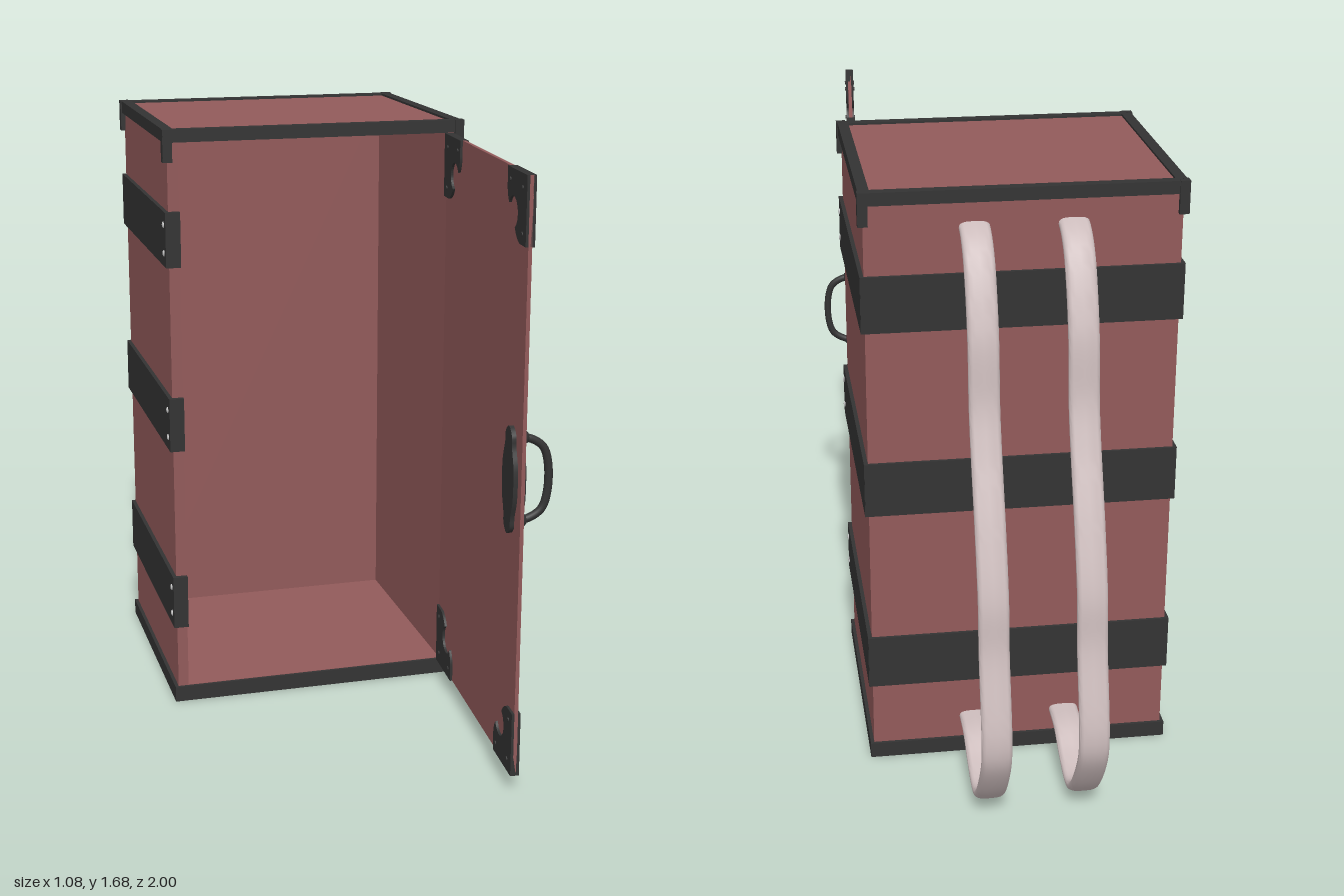
import * as THREE from 'three';
import { toCreasedNormals } from 'three/addons/utils/BufferGeometryUtils.js';

const mat = (color) => new THREE.MeshStandardMaterial({ color });
const RED = mat(0x925a5a), DARK = mat(0x333333), STRAP = mat(0xccbcbc), STEEL = mat(0xcccccc);

function add(parent, name, geometry, material, x = 0, y = 0, z = 0) {
  const mesh = new THREE.Mesh(geometry, material);
  mesh.name = name;
  mesh.position.set(x, y, z);
  parent.add(mesh);
  return mesh;
}

// box given by its min and max corners
function box(parent, name, material, [x0, y0, z0], [x1, y1, z1]) {
  const g = new THREE.BoxGeometry(x1 - x0, y1 - y0, z1 - z0);
  return add(parent, name, g, material, (x0 + x1) / 2, (y0 + y1) / 2, (z0 + z1) / 2);
}

// flat shape extruded evenly to both sides of z = 0
function plate(shape, depth) {
  return new THREE.ExtrudeGeometry(shape, { depth, bevelEnabled: false, curveSegments: 12 }).translate(0, 0, -depth / 2);
}

const rect = (P, w, d) => {
  const p = new P();
  p.moveTo(-w, -d).lineTo(w, -d).lineTo(w, d).lineTo(-w, d).closePath();
  return p;
};

// rectangular ring lying flat between y0 and y1
function ring(parent, name, hx, hz, width, y0, y1) {
  const s = rect(THREE.Shape, hx, hz);
  s.holes.push(rect(THREE.Path, hx - width, hz - width));
  const g = plate(s, y1 - y0).rotateX(-Math.PI / 2);
  add(parent, name, g, DARK, 0, (y0 + y1) / 2, 0);
}

const HX = 0.428, HZ = 0.361;   // outer half width and half depth
const WX = 0.418, WZ = 0.352;   // wooden case

function buildCase() {
  const g = new THREE.Group();
  g.name = 'case';
  for (const s of [-1, 1]) box(g, 'sideWall', RED, [s > 0 ? WX - 0.03 : -WX, 0.03, -WZ], [s > 0 ? WX : 0.03 - WX, 1.66, WZ]);
  box(g, 'backWall', RED, [-WX + 0.03, 0.03, -WZ], [WX - 0.03, 1.66, -WZ + 0.03]);
  box(g, 'floor', RED, [-WX + 0.03, 0.03, -WZ + 0.03], [WX - 0.03, 0.046, WZ]);
  box(g, 'lid', RED, [-WX + 0.02, 1.646, -WZ + 0.02], [WX - 0.02, 1.674, WZ - 0.02]);
  ring(g, 'topFrame', HX, HZ, 0.03, 1.645, 1.68);
  ring(g, 'bottomFrame', HX, HZ, 0.045, 0, 0.045);

  // small angle caps hanging from the upper corners
  for (const sx of [-1, 1]) for (const sz of [-1, 1]) {
    const c = new THREE.Group();
    c.name = 'cornerCap';
    add(c, 'capSide', new THREE.BoxGeometry(0.015, 0.09, 0.026), DARK, sx * (HX - 0.004), 1.636, sz * (HZ - 0.01));
    add(c, 'capEnd', new THREE.BoxGeometry(0.026, 0.09, 0.015), DARK, sx * (HX - 0.01), 1.636, sz * (HZ - 0.004));
    g.add(c);
  }

  // three metal bands round the sides and back, hooked over the front edges
  for (const y of [0.3125, 0.8475, 1.3775]) {
    const b = new THREE.Group();
    b.name = 'band';
    b.position.y = y;
    add(b, 'bandBack', new THREE.BoxGeometry(2 * HX, 0.155, 0.012), DARK, 0, 0, -HZ + 0.006);
    for (const s of [-1, 1]) {
      add(b, 'bandSide', new THREE.BoxGeometry(0.012, 0.155, 2 * HZ), DARK, s * (HX - 0.005), 0, 0.003);
      add(b, 'bandHook', new THREE.BoxGeometry(0.042, 0.155, 0.014), DARK, s * (HX - 0.02), 0, HZ - 0.001);
      for (const dy of [-0.04, 0.04]) {
        const r = add(b, 'rivet', new THREE.SphereGeometry(0.009, 12, 8), STEEL, s * (HX + 0.001), dy, HZ - 0.022);
        r.scale.x = 0.5;
      }
    }
    g.add(b);
  }
  return g;
}

// corner plate with a round bite between two claws, corner at the origin
function bracketShape() {
  const s = new THREE.Shape();
  s.moveTo(0, 0).lineTo(0.165, 0).lineTo(0.165, 0.045);
  s.quadraticCurveTo(0.165, 0.07, 0.148, 0.09);
  s.absarc(0.112, 0.108, 0.04, -0.45, 2.0, true);
  s.quadraticCurveTo(0.078, 0.172, 0.05, 0.178);
  s.lineTo(0, 0.178).closePath();
  return s;
}

// door frame: +x runs from the hinge to the free edge, -z is the outer face
function buildDoor() {
  const W = 0.786, Y0 = 0.046, Y1 = 1.645;
  const g = new THREE.Group();
  g.name = 'door';
  box(g, 'doorPanel', RED, [0, Y0, -0.005], [W, Y1, 0.005]);

  for (const right of [0, 1]) for (const top of [0, 1]) {
    const c = new THREE.Group();
    c.name = 'doorBracket';
    c.position.set(right * W, top ? Y1 : Y0, 0);
    // turning by half turns keeps the faces outward
    c.rotation.set(top ? Math.PI : 0, right ? Math.PI : 0, 0);
    add(c, 'bracketPlate', plate(bracketShape(), 0.024), DARK);
    for (const [x, y] of [[0.03, 0.15], [0.035, 0.035], [0.14, 0.03]])
      add(c, 'bracketRivet', new THREE.CylinderGeometry(0.006, 0.006, 0.03, 10).rotateX(Math.PI / 2), DARK, x, y);
    g.add(c);
  }

  // lozenge back plate and looped pull
  const h = new THREE.Group();
  h.name = 'handle';
  h.position.set(0.706, 0.846, 0);
  const pts = [[0, -0.145], [0.027, -0.125], [0.03, -0.095], [0.047, -0.05], [0.051, 0], [0.047, 0.05], [0.03, 0.095], [0.027, 0.125], [0, 0.145]];
  const outline = [...pts, ...pts.slice(1, -1).reverse().map(([x, y]) => [-x, y])];
  const curve = new THREE.CatmullRomCurve3(outline.map(([x, y]) => new THREE.Vector3(x, y, 0)), true);
  const shape = new THREE.Shape(curve.getPoints(48).slice(0, -1).map((p) => new THREE.Vector2(p.x, p.y)));
  add(h, 'handlePlate', toCreasedNormals(plate(shape, 0.034), 0.6), DARK);
  const loop = new THREE.CatmullRomCurve3(
    [[-0.112, -0.01], [-0.108, -0.04], [-0.085, -0.075], [-0.04, -0.09], [0.04, -0.09], [0.085, -0.075], [0.108, -0.04], [0.112, -0.01]]
      .map(([y, z]) => new THREE.Vector3(0, y, z)));
  add(h, 'handlePull', new THREE.TubeGeometry(loop, 40, 0.011, 10), DARK);
  for (const s of [-1, 1]) add(h, 'handleBoss', new THREE.SphereGeometry(0.02, 14, 10), DARK, 0, s * 0.112, -0.018);
  g.add(h);

  g.position.set(0.387, 0, 0.364);
  g.rotation.y = -(Math.PI / 2 + 0.069);
  return g;
}

// carrying strap: rounded flat section swept along a bowed path (z, y)
function strapGeometry() {
  const path = [[-0.345, 1.578], [-0.38, 1.565], [-0.435, 1.515], [-0.511, 1.34], [-0.54, 1.152], [-0.575, 1.045], [-0.656, 0.848],
    [-0.714, 0.672], [-0.73, 0.54], [-0.79, 0.299], [-0.78, 0.225], [-0.665, 0.062], [-0.61, 0.04], [-0.522, 0.062], [-0.435, 0.103], [-0.345, 0.112]];
  const curve = new THREE.CatmullRomCurve3(path.map(([z, y]) => new THREE.Vector3(0, y, z)));
  const section = new THREE.Shape();
  const n = 20, pow = (v, e) => Math.sign(v) * Math.abs(v) ** e;
  section.setFromPoints(Array.from({ length: n }, (_, i) => {
    const a = (i / n) * Math.PI * 2;
    return new THREE.Vector2(0.041 * pow(Math.cos(a), 0.6), 0.016 * pow(Math.sin(a), 0.8));
  }));
  const g = new THREE.ExtrudeGeometry(section, { steps: 90, extrudePath: curve, bevelEnabled: false });
  return toCreasedNormals(g, 0.9);
}

export function createModel() {
  const model = new THREE.Group();
  model.name = 'strappedCabinet';
  const body = new THREE.Group();
  body.name = 'cabinet';
  body.add(buildCase(), buildDoor());
  for (const x of [-0.13, 0.13]) add(body, 'shoulderStrap', strapGeometry(), STRAP, x);
  body.position.z = -0.2;
  body.rotation.y = -Math.PI / 8;
  model.add(body);
  return model;
}
